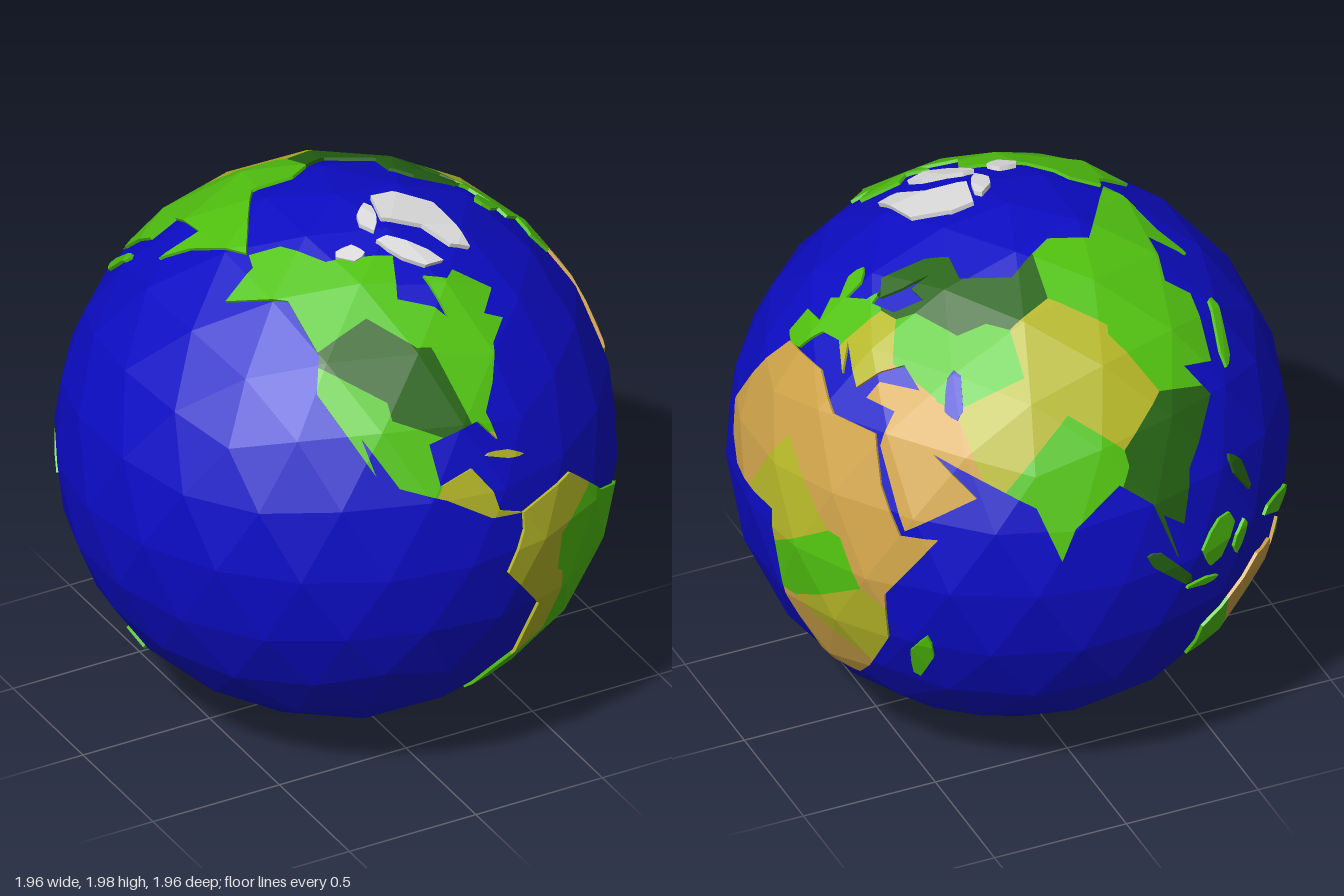
import * as THREE from 'three';

const mat = (name, color) => Object.assign(new THREE.MeshStandardMaterial({ color }), { name });
const R = 0.982;

// Longitude / latitude in degrees to a unit direction (longitude 0 faces +x)
const dir = (lon, lat) => {
  const a = THREE.MathUtils.degToRad(lon), b = THREE.MathUtils.degToRad(lat);
  return new THREE.Vector3(Math.cos(b) * Math.cos(a), Math.sin(b), -Math.cos(b) * Math.sin(a));
};
const coast = (...list) => {
  const out = [];
  for (let i = 0; i < list.length; i += 2) out.push(dir(list[i], list[i + 1]));
  return out;
};

// Uneven oval island: centre, half length and half width in degrees, turn from east
function blob(lon, lat, length, width, turn = 0) {
  const east = dir(lon + 90, 0), north = dir(lon, lat + 90), t = THREE.MathUtils.degToRad(turn);
  return Array.from({ length: 9 }, (_, i) => {
    const a = (i / 9) * Math.PI * 2, k = THREE.MathUtils.degToRad(1 + 0.15 * Math.sin(i * 2.4 + lon));
    const x = Math.cos(a) * length * k, y = Math.sin(a) * width * k;
    return dir(lon, lat).addScaledVector(east, x * Math.cos(t) - y * Math.sin(t))
      .addScaledVector(north, x * Math.sin(t) + y * Math.cos(t)).normalize();
  });
}

// Coast outlines as longitude, latitude pairs
const eurasia = coast(-9, 37, -9, 43, -1, 44, -5, 48.5, 8, 54, 10, 57, 11, 54, 21, 55, 29, 60, 21, 61, 24, 65.5, 17, 60,
  12, 56, 6, 59, 14, 68, 26, 71, 40, 67, 68, 69, 104, 77, 130, 71.5, 180, 69, 190, 66, 163, 58, 157, 51, 156, 61,
  136, 54, 140, 48, 128, 36, 119, 39, 122, 31, 109, 20, 105, 9, 100, 13, 103, 2, 98, 16, 91, 22, 80, 15, 77, 8,
  72, 20, 57, 27, 48, 30, 59, 22, 44, 13, 35, 29, 36, 36.5, 27, 37, 29, 41, 41, 42, 34, 46, 28, 43, 23, 38,
  13, 45, 17, 39, 10, 44, 3, 43, -1, 37, -5, 36);
const africa = coast(-6, 36, 10, 37, 20, 31, 33, 31, 37, 21, 43, 11.5, 51, 12, 40, -3, 40, -15, 33, -27, 27, -34,
  18, -34, 12, -17, 9, 4, -8, 4.5, -17, 14, -10, 29);
const northAmerica = coast(-168, 66, -156, 71, -125, 69.5, -85, 69, -94, 59, -82, 55, -79, 51.5, -78, 62, -70, 59,
  -64, 60, -56, 52, -66, 49, -61, 46, -70, 43, -76, 36, -81, 31, -80, 25, -84, 30, -97, 28, -96, 19, -88, 21, -84, 15,
  -83, 10.5, -77, 8, -85, 9.5, -95, 16, -105, 20, -113, 31, -110, 23, -124, 40, -124, 48, -138, 59, -162, 55, -161, 64);
const southAmerica = coast(-77, 8, -62, 10.5, -50, 0, -35, -7, -41, -22, -48, -27, -58, -36, -65, -43, -69, -51,
  -66, -55, -74, -50, -73, -38, -70, -18, -81, -5, -77, 4);
const australia = coast(114, -23, 130, -12, 136, -12, 140, -17.5, 142.5, -11, 153, -26, 150, -37.5, 138, -34,
  131, -31.5, 115, -34);
const greenland = coast(-31, 83, -70, 78, -51, 71, -52, 64, -46, 60.5, -23, 70, -17, 78.5);

// Colour seeds as longitude, latitude: the nearest seed colours the ground
const continents = [
  ['eurasia', eurasia, {
    green: [5, 48, 38, 51, 56, 50, 80, 26, 115, 45, 105, 66], yellow: [20, 45, 66, 37, 82, 54, 97, 41],
    tan: [32, 38, 47, 29], darkGreen: [20, 63, 42, 61, 63, 66, 108, 28, 102, 15] }],
  ['africa', africa, { tan: [-5, 18, 25, 19, 42, 7, 22, -25], yellow: [14, 8, 28, -14], green: [22, -4] }],
  ['northAmerica', northAmerica, {
    green: [-125, 60, -116, 36, -80, 40, -103, 25, -90, 57], darkGreen: [-108, 46, -95, 38], yellow: [-87, 15] }],
  ['southAmerica', southAmerica, { yellow: [-76, -3, -64, 8, -70, -22], green: [-56, -4, -56, -20, -65, -42] }],
  ['australia', australia, { green: [117, -27, 146, -27], tan: [130, -22] }],
];
const islands = [
  ['antarctica', 'ice', 90, -85, 18.5, 18.5],
  ['antarcticPeninsula', 'ice', -63, -69, 7, 2, 80],
  ['baffinIsland', 'ice', -74, 68, 6.5, 2.5, 125],
  ['ellesmereIsland', 'ice', -80, 80, 4, 2, 60],
  ['victoriaIsland', 'ice', -110, 71.5, 3, 2],
  ['britishIsland', 'green', -3, 54, 4, 2, 110],
  ['cuba', 'yellow', -79, 21.5, 4.5, 0.8, -18],
  ['madagascar', 'green', 47, -19, 7, 2.2, 75],
  ['sumatra', 'darkGreen', 101, 0, 7.5, 1.7, -45],
  ['java', 'green', 110, -7.5, 4.5, 0.8, -8],
  ['borneo', 'green', 114, 1, 5.5, 4, 50],
  ['sulawesi', 'green', 121, -2, 3.5, 1.5, 70],
  ['philippines', 'darkGreen', 123, 13, 6, 1.5, 115],
  ['newGuinea', 'green', 141, -5.5, 10, 2.5, -20],
  ['japan', 'green', 138, 38, 8, 1.5, 48],
  ['newZealandNorth', 'green', 176, -39, 3, 1.5, -50],
  ['newZealandSouth', 'green', 170.5, -43.7, 4, 1.3, 45],
  ['inlandSea', 'ocean', 51, 42, 5, 2, 100],
];

// Keep the part of a polygon on the positive side of planes through the centre
function clip(poly, planes) {
  for (const n of planes) {
    const out = [];
    poly.forEach((a, i) => {
      const b = poly[(i + 1) % poly.length], da = a.dot(n), db = b.dot(n);
      if (da >= 0) out.push(a);
      if (da * db < 0) out.push(a.clone().lerp(b, da / (da - db)).normalize());
    });
    poly = out;
    if (poly.length < 2) return [];
  }
  return poly;
}

// Cut an outline into triangles on a plane facing its middle
function triangulate(outline) {
  const c = outline.reduce((s, p) => s.add(p), new THREE.Vector3()).normalize();
  const u = new THREE.Vector3(0.31, 0.2, 0.93).cross(c).normalize(), v = c.clone().cross(u);
  const flat = outline.map((p) => new THREE.Vector2(p.dot(u) / p.dot(c), p.dot(v) / p.dot(c)));
  if (THREE.ShapeUtils.isClockWise(flat)) { flat.reverse(); outline.reverse(); }
  return THREE.ShapeUtils.triangulateShape(flat, []).map((t) => {
    const [p, q, r] = t.map((i) => outline[i]);
    return q.clone().sub(p).cross(r.clone().sub(p)).dot(p) < 0 ? [p, r, q] : [p, q, r];
  });
}

export function createModel() {
  const model = new THREE.Group();
  model.name = 'globe';
  const mats = {
    ocean: mat('ocean blue', 0x0c0cc6), green: mat('bright green', 0x52c410), darkGreen: mat('dark green', 0x266414),
    yellow: mat('yellow green', 0xb6b828), tan: mat('desert tan', 0xd0a44a), ice: mat('ice white', 0xdedede),
  };

  // Faceted ocean with a corner at each pole
  const oceanGeo = new THREE.IcosahedronGeometry(R, 3);
  oceanGeo.rotateZ(-Math.atan(2 / (1 + Math.sqrt(5))));
  oceanGeo.computeVertexNormals();
  const ocean = new THREE.Mesh(oceanGeo, mats.ocean);
  ocean.name = 'ocean';
  model.add(ocean);

  const facets = [], pos = oceanGeo.attributes.position;
  for (let i = 0; i < pos.count; i += 3) {
    const [a, b, c] = [0, 1, 2].map((k) => new THREE.Vector3().fromBufferAttribute(pos, i + k));
    const normal = b.clone().sub(a).cross(c.clone().sub(a)).normalize();
    const planes = [[a, b], [b, c], [c, a]].map(([p, q]) => p.clone().cross(q).normalize());
    facets.push({ normal, d: normal.dot(a), planes });
  }

  // Raised plate that follows the ocean facets, split by colour seed
  function addLand(name, outline, seeds, height) {
    const land = new THREE.Group();
    land.name = name;
    const tris = triangulate(outline);
    const groups = Object.entries(seeds).map(([colour, list]) => [colour, coast(...list)]);
    const sites = groups.flatMap(([, list]) => list);
    for (const [colour, list] of groups) {
      const out = [];
      const put = (f, p, k) => out.push(...p.clone().multiplyScalar((f.d * k) / f.normal.dot(p)).toArray());
      for (const site of list) {
        const zone = sites.filter((t) => t !== site).map((t) => site.clone().sub(t));
        for (const tri of tris) {
          const part = clip(tri, zone);
          if (part.length > 2) for (const f of facets) {
            const q = clip(part, f.planes);
            for (let i = 1; i < q.length - 1; i++) [q[0], q[i], q[i + 1]].forEach((p) => put(f, p, height));
          }
        }
        // Coast walls
        outline.forEach((a, i) => {
          const part = clip([a, outline[(i + 1) % outline.length]], zone).slice(0, 2);
          if (part.length === 2) for (const f of facets) {
            const [p, q] = clip(part, f.planes);
            if (q) [[p, 0.99], [q, 0.99], [q, height], [p, 0.99], [q, height], [p, height]].forEach(([w, k]) => put(f, w, k));
          }
        });
      }
      if (!out.length) continue;
      const geo = new THREE.BufferGeometry();
      geo.setAttribute('position', new THREE.Float32BufferAttribute(out, 3));
      geo.computeVertexNormals();
      const mesh = new THREE.Mesh(geo, mats[colour]);
      mesh.name = `${name} ${mats[colour].name}`;
      land.add(mesh);
    }
    model.add(land);
  }

  const heights = { ice: 1.018, ocean: 1.014, green: 1.012, darkGreen: 1.012, yellow: 1.012 };
  continents.forEach(([name, outline, seeds]) => addLand(name, outline, seeds, heights.green));
  addLand('greenland', greenland, { ice: [0, 0] }, heights.ice);
  islands.forEach(([name, colour, ...shape]) => addLand(name, blob(...shape), { [colour]: [0, 0] }, heights[colour]));

  model.position.y = 1;
  return model;
}
